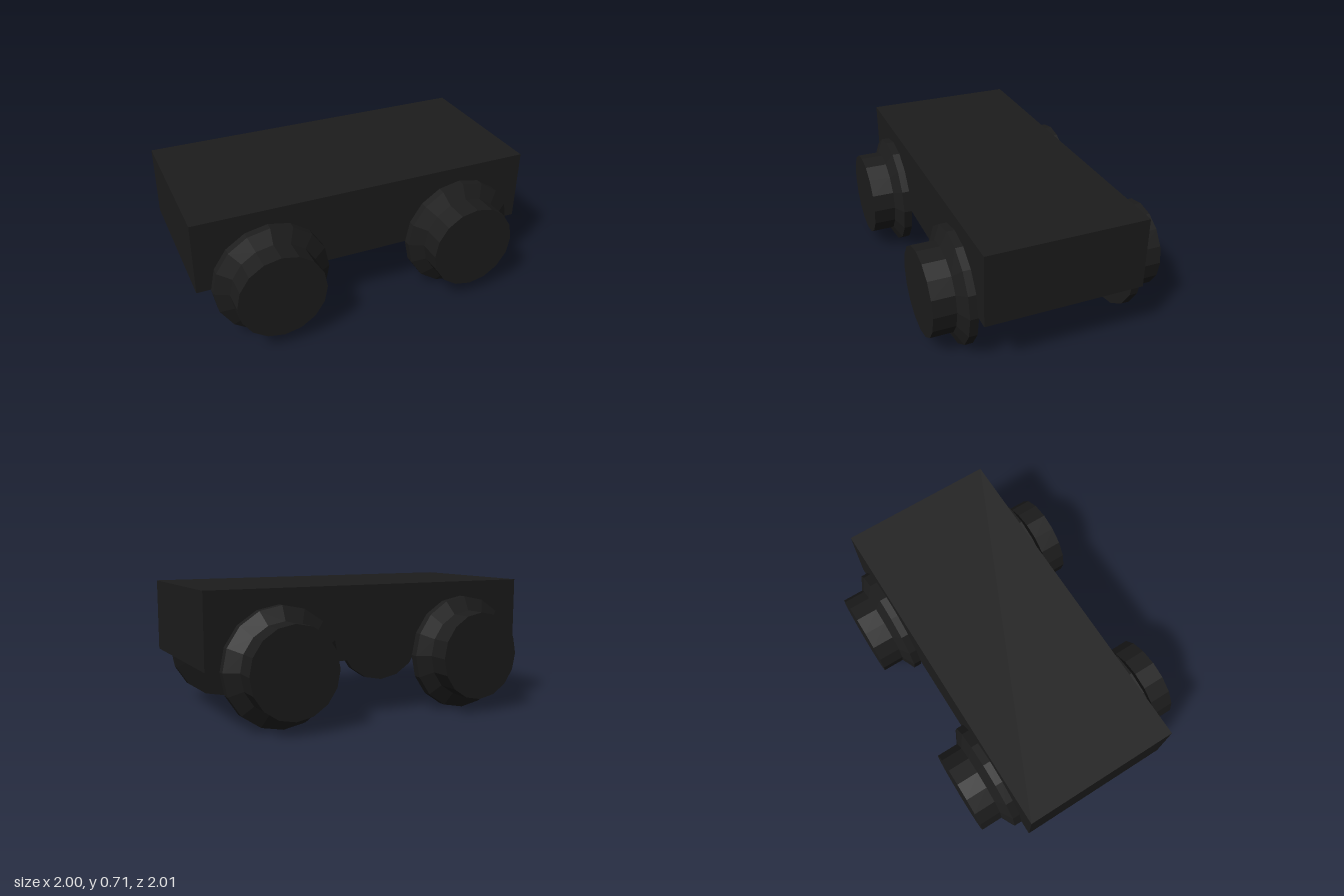
import * as THREE from 'three';

const material = new THREE.MeshStandardMaterial({ color: 0x1c1c1c, flatShading: true });

// Flanged wheel profile: [radius, distance from the cart's centre line]
const wheelProfile = [
  [0, 0.42], [0.313, 0.425], [0.313, 0.47], [0.238, 0.508], [0.238, 0.63], [0, 0.63],
].map(([r, d]) => new THREE.Vector2(r, d));

export function createModel() {
  const model = new THREE.Group();
  model.name = 'cart';

  // Everything sits on a cart turned diagonally to the axes
  const cart = new THREE.Group();
  cart.name = 'turnedCart';
  cart.rotation.y = -0.756;
  model.add(cart);

  // Plain box body
  const body = new THREE.Mesh(new THREE.BoxGeometry(0.857, 0.392, 1.872), material);
  body.name = 'body';
  body.position.y = 0.511;
  cart.add(body);

  // Four flanged wheels, axles along local x
  const wheelGeometry = new THREE.LatheGeometry(wheelProfile, 16);
  wheelGeometry.rotateZ(-Math.PI / 2);
  for (const [side, sideName] of [[1, 'left'], [-1, 'right']]) {
    for (const [end, endName] of [[1, 'Front'], [-1, 'Rear']]) {
      const wheel = new THREE.Mesh(wheelGeometry, material);
      wheel.name = `${sideName}${endName}Wheel`;
      wheel.position.set(0, 0.313, end * 0.548);
      wheel.rotation.y = side > 0 ? 0 : Math.PI;
      cart.add(wheel);
    }
  }
  return model;
}
